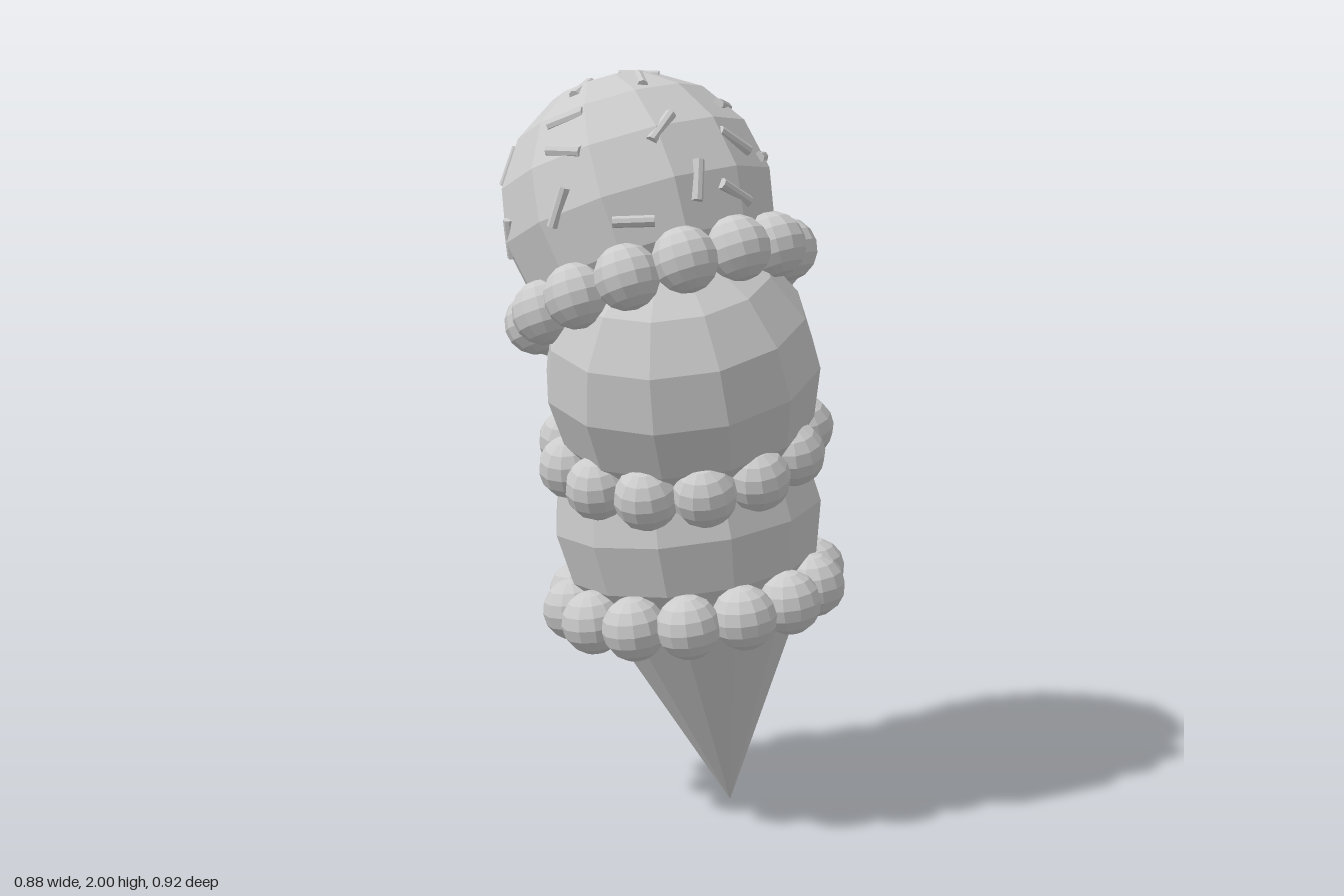
import * as THREE from 'three';

const material = new THREE.MeshStandardMaterial({ color: 0xcccccc, flatShading: true });
const UP = new THREE.Vector3(0, 1, 0);

function part(name, geometry, parent) {
  const mesh = new THREE.Mesh(geometry, material);
  mesh.name = name;
  parent.add(mesh);
  return mesh;
}

// Turns an object so its y axis is square to the plane y = sx * x + sz * z
function tilt(object, sx, sz) {
  object.quaternion.setFromUnitVectors(UP, new THREE.Vector3(-sx, 1, -sz).normalize());
}

function addScoop(name, parent, center, radius, sx, sz) {
  const scoop = part(name, new THREE.SphereGeometry(radius, 12, 8), parent);
  scoop.position.set(...center);
  tilt(scoop, sx, sz);
}

// Tilted ring of small balls under a scoop
function addBallRing(name, parent, { center, radius, count, phase, sx, sz }) {
  const ring = new THREE.Group();
  ring.name = name;
  const ball = new THREE.SphereGeometry(0.085, 12, 8);
  for (let i = 0; i < count; i++) {
    const a = THREE.MathUtils.degToRad(phase) + (i / count) * Math.PI * 2;
    const mesh = part('ringBall', ball, ring);
    mesh.position.set(Math.sin(a) * radius, 0, Math.cos(a) * radius);
    mesh.rotation.y = a;
  }
  ring.position.set(...center);
  tilt(ring, sx, sz);
  parent.add(ring);
}

// Sprinkles: offset from the scoop's centre, then the direction of the rod
const SPRINKLES = [
  [[-0.105, 0.31, -0.14], [1, 0, 0.02]],
  [[-0.02, 0.36, -0.025], [1, 0, -0.75]],
  [[0.055, 0.35, 0.05], [1, 0, 0.85]],
  [[0.17, 0.28, -0.145], [0.4, 0, 1]],
  [[0.087, 0.18, -0.3], [0.6, 0, -1]],
  [[-0.08, 0.32, 0.125], [0.25, 0, 1]],
  [[-0.25, 0.25, 0.055], [-0.15, 0, 1]],
  [[-0.27, 0.14, -0.19], [0.6, 0.5, -0.2]],
  [[0.22, 0.24, 0.15], [0.1, -0.6, 0.8]],
  [[0.295, 0.2, -0.05], [0.4, -0.5, -1]],
  [[0.335, 0.07, 0.01], [0.2, -0.5, -0.9]],
  [[0.32, 0.11, 0.12], [-0.2, 1, -0.3]],
  [[0.26, 0.145, -0.19], [0.5, 0, 1]],
  [[-0.02, 0.255, 0.25], [1, 0, -0.7]],
  [[0.03, 0.18, 0.31], [1, 0.08, 0]],
  [[-0.24, 0.12, 0.24], [0.1, 1, 0]],
  [[0.05, 0.04, 0.355], [0.3, 1, 0]],
  [[0.235, 0.01, 0.27], [1, 0.05, -1]],
  [[-0.17, -0.06, 0.31], [0.25, 1, 0]],
  [[-0.31, -0.12, 0.14], [0.3, 1, 0.5]],
  [[-0.335, 0.08, 0.08], [0, 1, 0.3]],
  [[-0.24, 0.01, -0.27], [0.3, 1, -0.3]],
  [[-0.08, -0.01, -0.35], [1, 0.3, 0]],
  [[-0.33, -0.11, -0.11], [0, 1, 0.4]],
];

function addSprinkles(parent, center) {
  const group = new THREE.Group();
  group.name = 'sprinkles';
  const rod = new THREE.CylinderGeometry(0.015, 0.015, 0.105, 8);
  for (const [offset, direction] of SPRINKLES) {
    const normal = new THREE.Vector3(...offset).normalize();
    const along = new THREE.Vector3(...direction).projectOnPlane(normal).normalize();
    const mesh = part('sprinkle', rod, group);
    mesh.position.copy(normal).multiplyScalar(0.35);
    mesh.quaternion.setFromUnitVectors(UP, along);
  }
  group.position.set(...center);
  parent.add(group);
}

export function createModel() {
  const model = new THREE.Group();
  model.name = 'iceCreamCone';

  // Leaning wafer cone, tip at the bottom
  const tip = new THREE.Vector3(0.06, 0, -0.155);
  const axis = new THREE.Vector3(-0.045, 0.65, 0.08);
  const height = axis.length();
  const coneShape = new THREE.CylinderGeometry(0.315, 0.0005, height, 12).translate(0, height / 2, 0);
  const cone = part('cone', coneShape, model);
  cone.position.copy(tip);
  cone.quaternion.setFromUnitVectors(UP, axis.normalize());

  // Three scoops stacked off-centre
  const top = [-0.08, 1.63, 0.06];
  addScoop('bottomScoop', model, [0, 0.83, -0.042], 0.365, 0.06, -0.12);
  addScoop('middleScoop', model, [0.075, 1.23, 0.062], 0.365, -0.12, -0.3);
  addScoop('topScoop', model, top, 0.365, 0.41, 0);

  // Ball rings below each scoop
  addBallRing('bottomBallRing', model,
    { center: [0.022, 0.612, -0.05], radius: 0.33, count: 14, phase: 13, sx: 0.06, sz: -0.12 });
  addBallRing('middleBallRing', model,
    { center: [0.037, 1.03, 0.01], radius: 0.312, count: 13, phase: 23, sx: -0.12, sz: -0.3 });
  addBallRing('topBallRing', model,
    { center: [-0.01, 1.44, 0.05], radius: 0.338, count: 14, phase: 4, sx: 0.41, sz: 0 });

  addSprinkles(model, top);
  return model;
}
